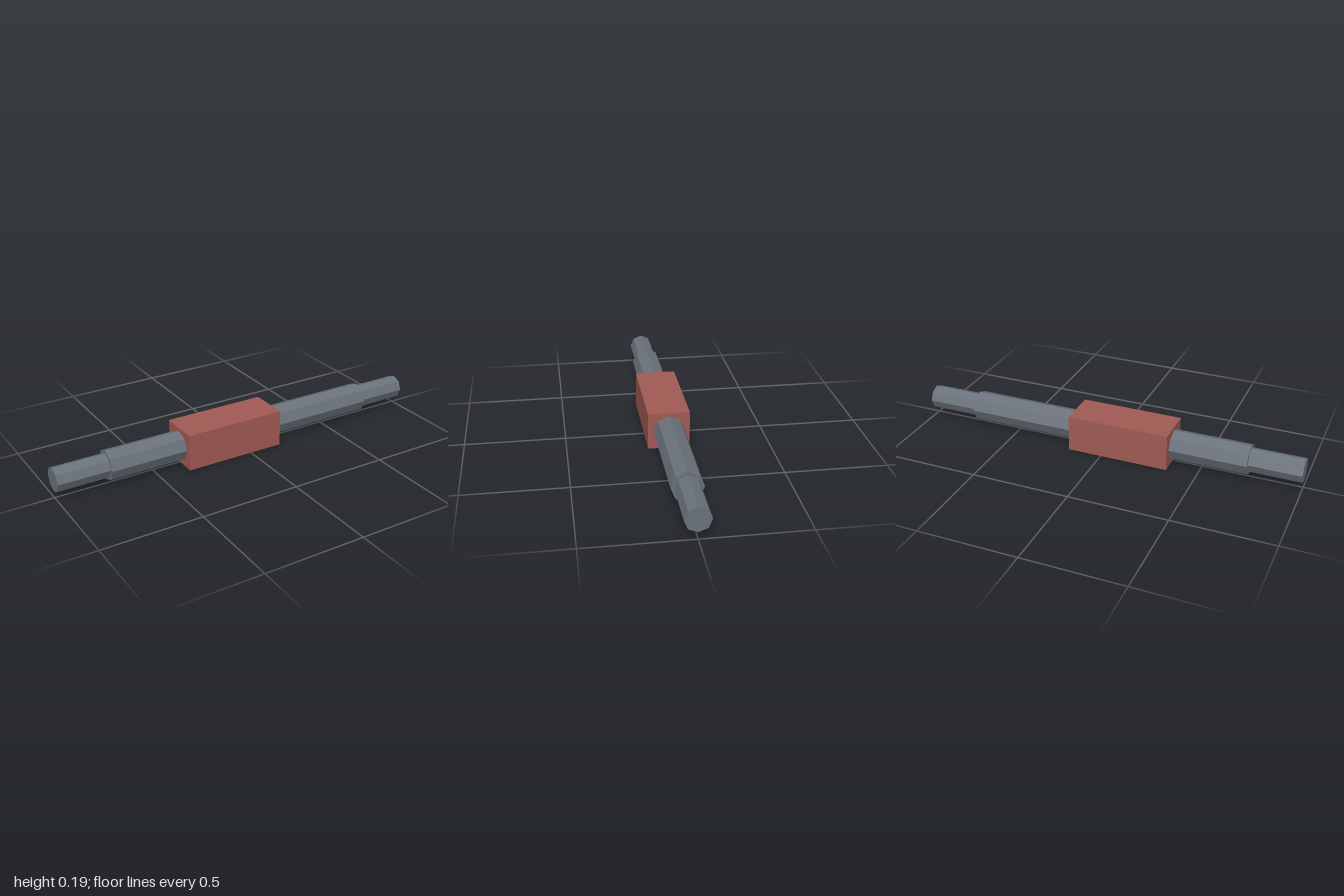
import * as THREE from 'three';

export function createModel() {
  const model = new THREE.Group();
  const steel = new THREE.MeshStandardMaterial({ color: 0x69717a, flatShading: true });
  steel.name = 'steel grey';
  const red = new THREE.MeshStandardMaterial({ color: 0xa05a54, flatShading: true });
  red.name = 'brick red';

  const axisY = 0.094;

  // Octagonal rod lying along x between two stations
  function rod(name, x0, x1, radius) {
    const geometry = new THREE.CylinderGeometry(radius, radius, x1 - x0, 8);
    geometry.rotateZ(Math.PI / 2);
    const mesh = new THREE.Mesh(geometry, steel);
    mesh.name = name;
    mesh.position.set((x0 + x1) / 2, axisY, 0);
    model.add(mesh);
  }

  // Central block, set slightly towards -x
  const block = new THREE.Mesh(new THREE.BoxGeometry(0.52, 0.186, 0.206), red);
  block.name = 'block';
  block.position.set(-0.088, 0.093, 0);
  model.add(block);

  // Thick shaft through the block, with a thinner stub at each end
  rod('shaft', -0.738, 0.735, 0.076);
  rod('leftStub', 0.735, 1, 0.061);
  rod('rightStub', -1, -0.738, 0.061);

  return model;
}
